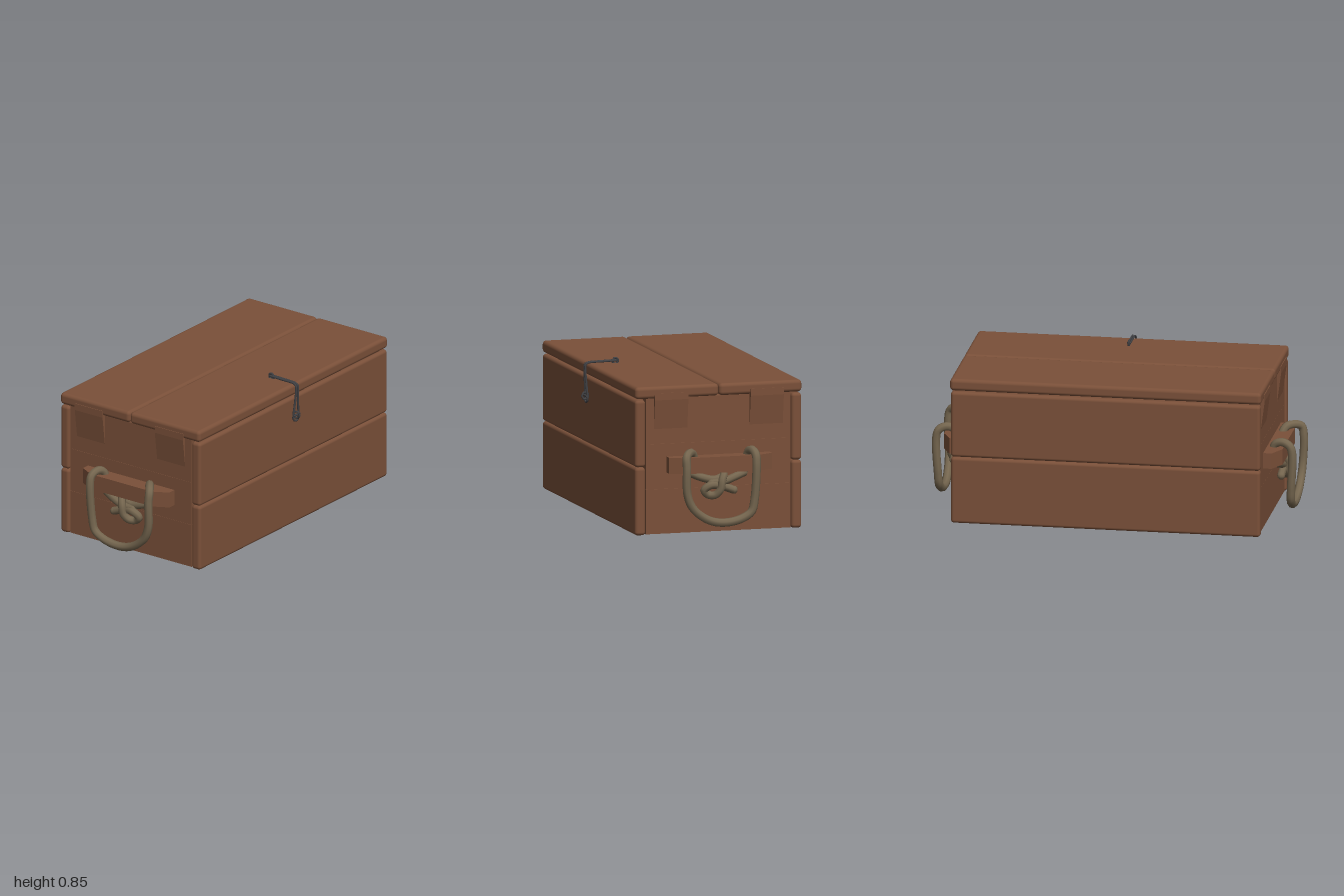
import * as THREE from 'three';
import { RoundedBoxGeometry } from 'three/addons/geometries/RoundedBoxGeometry.js';

export function createModel() {
  const wood = new THREE.MeshStandardMaterial({ color: 0x7a5039 });
  wood.name = 'brown wood';
  const ropeMat = new THREE.MeshStandardMaterial({ color: 0x75664f });
  ropeMat.name = 'hemp rope';
  const iron = new THREE.MeshStandardMaterial({ color: 0x414144 });
  iron.name = 'dark iron';

  const model = new THREE.Group();
  model.name = 'woodenChest';

  function add(parent, name, geometry, material) {
    const mesh = new THREE.Mesh(geometry, material);
    mesh.name = name;
    parent.add(mesh);
    return mesh;
  }
  // Board given by its minimum and maximum corners
  function board(parent, name, min, max, radius) {
    const size = max.map((v, i) => v - min[i]);
    const geo = radius
      ? new RoundedBoxGeometry(size[0], size[1], size[2], 3, radius)
      : new THREE.BoxGeometry(...size);
    geo.translate(...max.map((v, i) => (v + min[i]) / 2));
    return add(parent, name, geo, wood);
  }
  // Smooth tube through points, mirrored in x by side
  function cord(parent, name, points, radius, material, side = 1, closed = false, sides = 8) {
    const path = new THREE.CatmullRomCurve3(
      points.map(([x, y, z]) => new THREE.Vector3(x * side, y, z)), closed, 'centripetal');
    add(parent, name, new THREE.TubeGeometry(path, points.length * 6, radius, sides, closed), material);
    if (!closed) for (const p of [points[0], points[points.length - 1]]) {
      const cap = add(parent, name + 'End', new THREE.SphereGeometry(radius, 8, 6), material);
      cap.position.set(p[0] * side, p[1], p[2]);
    }
  }
  function prism(points, depth, side) {
    const shape = new THREE.Shape(points.map(([x, y]) => new THREE.Vector2(x * side, y)));
    return new THREE.ExtrudeGeometry(shape, { depth, bevelEnabled: false });
  }

  // Front and back planks, two each
  for (const [y0, y1] of [[0, 0.373], [0.374, 0.742]]) {
    board(model, 'frontPlank', [-0.85, y0, 0.396], [0.85, y1, 0.455], 0.018);
    board(model, 'backPlank', [-0.85, y0, -0.49], [0.85, y1, -0.432], 0.018);
  }
  // Floor
  board(model, 'floor', [-0.83, 0.006, -0.428], [0.83, 0.03, 0.391]);

  // Lid of two planks
  board(model, 'lidFrontPlank', [-0.855, 0.748, -0.018], [0.855, 0.814, 0.455], 0.02);
  board(model, 'lidBackPlank', [-0.855, 0.748, -0.49], [0.855, 0.814, -0.02], 0.02);

  // Ends: planks, tabs under the lid, cleat and rope handle
  for (const side of [1, -1]) {
    const end = new THREE.Group();
    end.name = side > 0 ? 'leftEnd' : 'rightEnd';
    model.add(end);

    for (const [y0, y1] of [[0.004, 0.249], [0.25, 0.497], [0.498, 0.748]]) {
      const xs = [0.78 * side, 0.838 * side].sort((a, b) => a - b);
      board(end, 'endPlank', [xs[0], y0, -0.428], [xs[1], y1, 0.391]);
    }
    for (const [z0, z1] of [[0.157, 0.347], [-0.385, -0.197]]) {
      const tab = prism([[0.82, 0.58], [0.838, 0.58], [0.859, 0.74], [0.859, 0.778], [0.82, 0.778]], z1 - z0, side);
      tab.translate(0, 0, z0);
      add(end, 'lidTab', tab, wood);
    }

    const cleat = prism([[0.83, -0.31], [0.885, -0.31], [0.93, -0.22], [0.93, 0.19], [0.885, 0.275], [0.83, 0.275]], 0.087, side);
    cleat.rotateX(Math.PI / 2);
    cleat.translate(0, 0.426, 0);
    add(end, 'handleCleat', cleat, wood);

    cord(end, 'ropeHandle', [
      [0.875, 0.33, 0.14], [0.868, 0.40, 0.125], [0.89, 0.445, 0.145], [0.93, 0.452, 0.175],
      [0.965, 0.435, 0.2], [0.977, 0.38, 0.202], [0.972, 0.23, 0.197], [0.968, 0.16, 0.168],
      [0.965, 0.105, 0.108], [0.962, 0.075, 0.04], [0.962, 0.07, -0.04], [0.964, 0.09, -0.12],
      [0.967, 0.125, -0.168], [0.97, 0.19, -0.184], [0.978, 0.39, -0.193], [0.965, 0.435, -0.193],
      [0.925, 0.455, -0.185], [0.885, 0.442, -0.175], [0.868, 0.39, -0.165], [0.878, 0.325, -0.15],
    ], 0.023, ropeMat, side);

    // Knot below the cleat
    cord(end, 'ropeKnot', [
      [0.875, 0.33, 0.14], [0.885, 0.31, 0.09], [0.885, 0.295, 0.02], [0.88, 0.31, -0.03],
      [0.905, 0.325, -0.03], [0.925, 0.295, -0.015], [0.925, 0.245, -0.005], [0.91, 0.215, 0.02],
      [0.895, 0.215, 0.055], [0.9, 0.24, 0.08], [0.912, 0.268, 0.05], [0.905, 0.265, 0],
      [0.9, 0.25, -0.05], [0.9, 0.236, -0.088],
    ], 0.022, ropeMat, side);
    cord(end, 'ropeKnotStrand', [
      [0.878, 0.325, -0.15], [0.895, 0.305, -0.09], [0.9, 0.285, -0.03], [0.9, 0.28, 0.04],
    ], 0.022, ropeMat, side);
  }

  // Wire latch: looped hook bent over the lid edge, with a staple at each end
  const latch = new THREE.Group();
  latch.name = 'latch';
  model.add(latch);
  for (const side of [1, -1]) {
    cord(latch, 'latchWire', [
      [0.006, 0.828, 0.3], [0.006, 0.826, 0.38], [0.006, 0.822, 0.46], [0.008, 0.812, 0.475],
      [0.009, 0.78, 0.477], [0.014, 0.71, 0.473], [0.022, 0.65, 0.47], [0.022, 0.622, 0.469],
      [0.012, 0.609, 0.47], [0, 0.606, 0.47],
    ], 0.006, iron, side, false, 6);
  }
  cord(latch, 'lidStaple', [
    [0, 0.812, 0.294], [0, 0.836, 0.292], [0, 0.84, 0.31], [0, 0.815, 0.318],
  ], 0.006, iron, 1, true, 6);
  const staple = add(latch, 'frontStaple', new THREE.TorusGeometry(0.021, 0.006, 6, 6), iron);
  staple.rotation.y = Math.PI / 2;
  staple.position.set(0, 0.641, 0.474);
  const pin = add(latch, 'latchPin', new THREE.CylinderGeometry(0.006, 0.006, 0.056, 6), iron);
  pin.rotation.z = Math.PI / 2;
  pin.position.set(0, 0.641, 0.474);

  return model;
}
